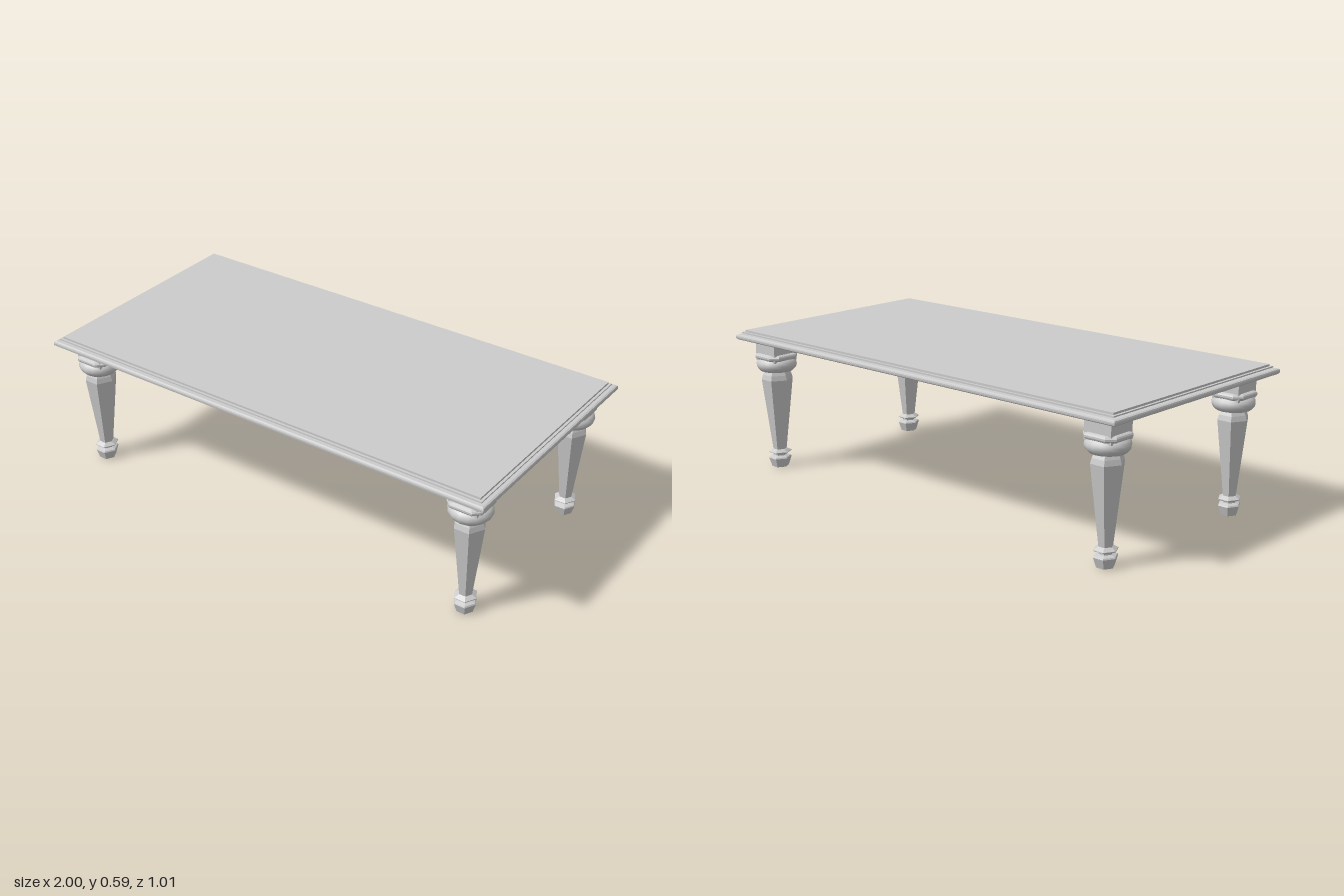
import * as THREE from 'three';

const flat = new THREE.MeshStandardMaterial({ color: 0xcccccc, flatShading: true });
const smooth = new THREE.MeshStandardMaterial({ color: 0xcccccc });

// Stacks rectangular sections [y, inset] with optionally cut corners, capped at both ends
function stackedSlab(halfX, halfZ, cut, profile) {
  const pos = [], idx = [];
  const n = cut > 0 ? 8 : 4;
  for (const [y, inset] of profile) {
    const a = halfX - inset, b = halfZ - inset;
    const ring = cut > 0
      ? [[a, -b + cut], [a, b - cut], [a - cut, b], [-a + cut, b],
         [-a, b - cut], [-a, -b + cut], [-a + cut, -b], [a - cut, -b]]
      : [[a, -b], [a, b], [-a, b], [-a, -b]];
    for (const [x, z] of ring) pos.push(x, y, z);
  }
  const last = (profile.length - 1) * n;
  for (let k = 0; k < last; k += n) {
    for (let i = 0; i < n; i++) {
      const a = k + i, b = k + (i + 1) % n;
      idx.push(a, a + n, b + n, a, b + n, b);
    }
  }
  for (let i = 1; i < n - 1; i++) {
    idx.push(0, i, i + 1, last, last + i + 1, last + i);
  }
  const g = new THREE.BufferGeometry();
  g.setAttribute('position', new THREE.Float32BufferAttribute(pos, 3));
  g.setIndex(idx);
  g.computeVertexNormals();
  return g;
}

const points = (list) => list.map(([r, y]) => new THREE.Vector2(r, y));

function addMesh(parent, name, geometry, material) {
  const mesh = new THREE.Mesh(geometry, material);
  mesh.name = name;
  parent.add(mesh);
  return mesh;
}

function createLeg() {
  const leg = new THREE.Group();

  // Square block under the top
  const block = addMesh(leg, 'legBlock', new THREE.BoxGeometry(0.118, 0.09, 0.118), flat);
  block.position.y = 0.507;

  // Thin rounded collar with cut corners
  addMesh(leg, 'collar', stackedSlab(0.074, 0.074, 0.028, [
    [0.468, 0.01], [0.472, 0.003], [0.478, 0], [0.485, 0], [0.49, 0.003], [0.494, 0.011],
  ]), flat);

  // Fat turned ring
  addMesh(leg, 'turnedRing', new THREE.LatheGeometry(points([
    [0, 0.42], [0.068, 0.42], [0.068, 0.42], [0.076, 0.428], [0.082, 0.437], [0.084, 0.447],
    [0.082, 0.457], [0.076, 0.466], [0.066, 0.473], [0.066, 0.473], [0, 0.473],
  ]), 16), smooth);

  // Six-sided tapered shaft with its disc and foot
  const shaft = addMesh(leg, 'taperedShaft', new THREE.LatheGeometry(points([
    [0, 0], [0.036, 0], [0.049, 0.038], [0.046, 0.043], [0.028, 0.049], [0.028, 0.054],
    [0.049, 0.063], [0.049, 0.066], [0.029, 0.077], [0.067, 0.382],
    [0.061, 0.402], [0.05, 0.422], [0, 0.422],
  ]), 6, Math.PI / 2), flat);
  shaft.scale.x = 0.92;
  return leg;
}

export function createModel() {
  const table = new THREE.Group();
  table.name = 'table';

  // Table top: rounded lower slab and two stepped mouldings
  addMesh(table, 'tableTop', stackedSlab(1, 0.504, 0, [
    [0.549, 0.006], [0.553, 0.001], [0.558, 0], [0.563, 0], [0.568, 0.002], [0.571, 0.008],
    [0.571, 0.028], [0.575, 0.028], [0.575, 0.019], [0.58, 0.019], [0.58, 0.029], [0.588, 0.029],
  ]), flat);

  // Legs, set slightly toward the back right
  for (const [side, x] of [['Left', 0.878], ['Right', -0.886]]) {
    for (const [end, z] of [['front', 0.371], ['back', -0.392]]) {
      const leg = createLeg();
      leg.name = `${end}${side}Leg`;
      leg.position.set(x, 0, z);
      table.add(leg);
    }
  }
  return table;
}
